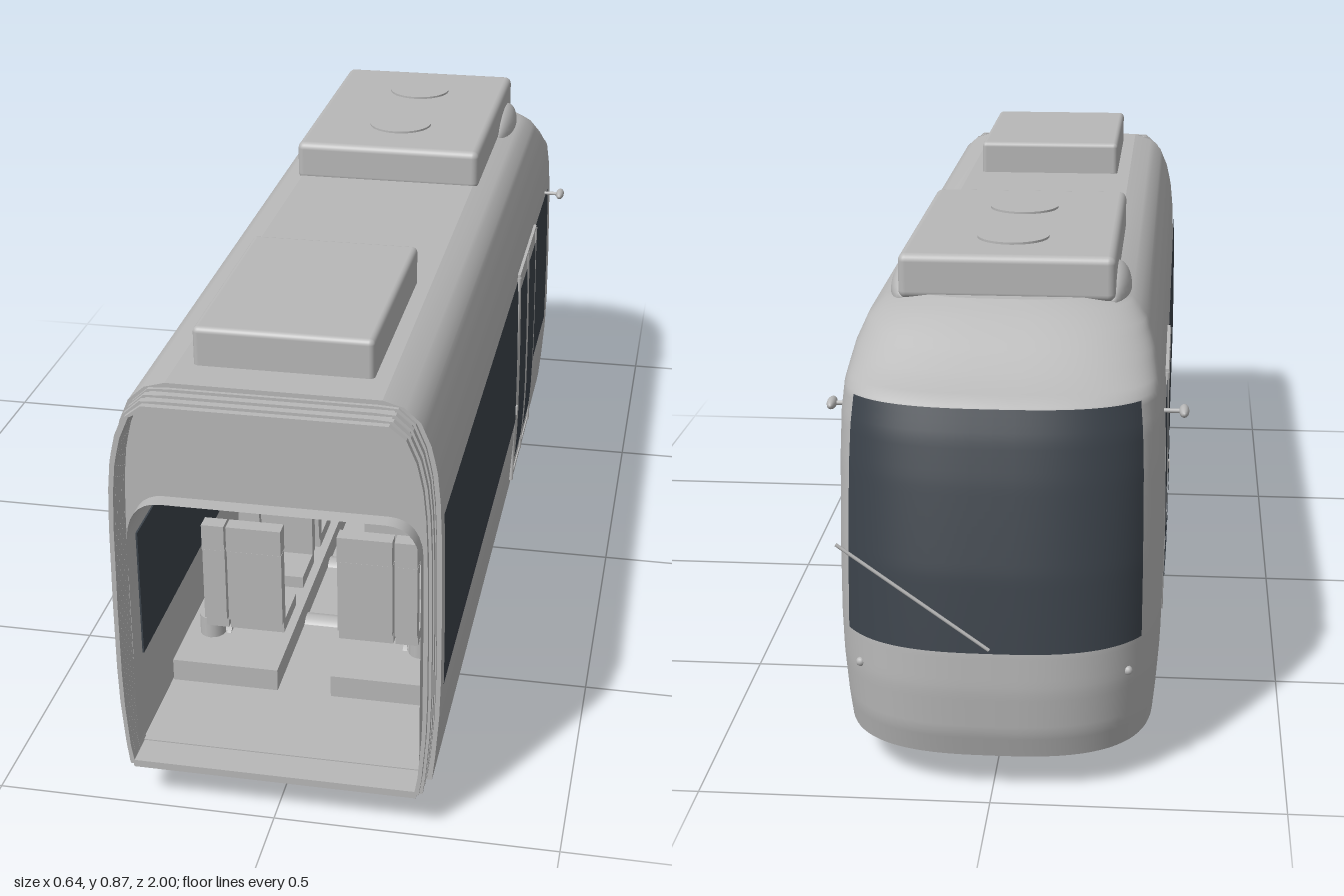
import * as THREE from 'three';
import { RoundedBoxGeometry } from 'three/addons/geometries/RoundedBoxGeometry.js';

const grey = new THREE.MeshStandardMaterial({ color: 0xb8b8b8, side: THREE.DoubleSide });
grey.name = 'bodyGrey';
const glass = new THREE.MeshStandardMaterial({ color: 0x3b424a, side: THREE.DoubleSide });
glass.name = 'darkGlass';

// Body profile rows: height, half width, nose tip z, z where the nose curve starts
const PROFILE = [
  [0.07, 0.268, -0.965, -0.72], [0.12, 0.273, -0.98, -0.72], [0.2, 0.279, -0.987, -0.72],
  [0.27, 0.281, -0.985, -0.72], [0.4, 0.281, -0.967, -0.72], [0.55, 0.279, -0.935, -0.72],
  [0.62, 0.276, -0.917, -0.72], [0.67, 0.271, -0.9, -0.71], [0.69, 0.267, -0.85, -0.69],
  [0.72, 0.26, -0.8, -0.66], [0.76, 0.243, -0.74, -0.62], [0.785, 0.215, -0.7, -0.59],
  [0.795, 0.18, -0.68, -0.57]];
const REAR = 0.935, Y0 = 0.07, Y1 = 0.795;

function profileAt(y) {
  let i = 0;
  while (i < PROFILE.length - 2 && y > PROFILE[i + 1][0]) i++;
  const a = PROFILE[i], b = PROFILE[i + 1];
  const k = THREE.MathUtils.clamp((y - a[0]) / (b[0] - a[0]), 0, 1);
  return [1, 2, 3].map(j => THREE.MathUtils.lerp(a[j], b[j], k));
}

// Point on the rounded nose at height y, t from 0 (left) to PI (right)
function nosePoint(y, t, off = 0) {
  const [w, f, s] = profileAt(y), e = 2 / 2.8, c = Math.cos(t);
  const x = (w + off) * Math.sign(c) * Math.pow(Math.abs(c), e);
  return [x, y, s + (f - off - s) * Math.pow(Math.max(Math.sin(t), 0), e)];
}

// Surface from a rule giving a point for column i and row j
function grid(nu, nv, rule) {
  const pos = [], idx = [];
  for (let j = 0; j <= nv; j++) for (let i = 0; i <= nu; i++) pos.push(...rule(i, j));
  for (let j = 0; j < nv; j++) for (let i = 0; i < nu; i++) {
    const a = j * (nu + 1) + i, d = a + nu + 1;
    idx.push(a, a + 1, d, a + 1, d + 1, d);
  }
  const g = new THREE.BufferGeometry();
  g.setAttribute('position', new THREE.Float32BufferAttribute(pos, 3));
  g.setIndex(idx);
  g.computeVertexNormals();
  return g;
}

export function createModel() {
  const model = new THREE.Group();
  model.name = 'tramCar';
  const add = (name, geo, mat = grey, x = 0, y = 0, z = 0) => {
    const m = new THREE.Mesh(geo, mat);
    m.name = name;
    m.position.set(x, y, z);
    model.add(m);
    return m;
  };
  // Box given by its limits
  const box = (name, x0, x1, y0, y1, z0, z1, mat = grey, r = 0) => {
    const s = [Math.abs(x1 - x0), y1 - y0, Math.abs(z1 - z0)];
    const g = r ? new RoundedBoxGeometry(...s, 3, r) : new THREE.BoxGeometry(...s);
    return add(name, g, mat, (x0 + x1) / 2, (y0 + y1) / 2, (z0 + z1) / 2);
  };
  // Straight round bar between two points
  const bar = (name, a, b, r) => {
    const p = new THREE.Vector3(...a), q = new THREE.Vector3(...b);
    const m = add(name, new THREE.CylinderGeometry(r, r, p.distanceTo(q), 16));
    m.position.copy(p).lerp(q, 0.5);
    m.quaternion.setFromUnitVectors(new THREE.Vector3(0, 1, 0), q.sub(p).normalize());
    return m;
  };

  // Outer shell, roof and underside
  const N = 40, ROWS = 58;
  const hull = (i, y) => {
    if (i === 0 || i === N + 2) return [(i ? -1 : 1) * profileAt(y)[0], y, REAR];
    return nosePoint(y, (i - 1) / N * Math.PI);
  };
  add('bodyShell', grid(N + 2, ROWS, (i, j) => hull(i, Y0 + (Y1 - Y0) * j / ROWS)));
  const cap = y => grid(N / 2 + 1, 1, (i, j) => hull(j ? N + 2 - i : i, y));
  add('roof', cap(Y1));
  add('underside', cap(Y0));

  // Windscreen following the nose
  const T = 0.593;
  add('windscreen', grid(32, 32, (i, j) =>
    nosePoint(0.27 + 0.398 * j / 32, T + (Math.PI - 2 * T) * i / 32, 0.004)), glass);
  bar('wiper', [0, 0.28, -0.996], [0.25, 0.46, -0.996], 0.003);

  // Side windows, doors, mirrors and lamps
  const panel = (name, side, z0, z1, y0, y1, off, mat) => add(name, grid(1, 14, (i, j) => {
    const y = y0 + (y1 - y0) * j / 14;
    return [side * (profileAt(y)[0] + off), y, (i === 0) === (side > 0) ? z0 : z1];
  }), mat);
  for (const s of [1, -1]) {
    panel('saloonWindow', s, 0.92, -0.095, 0.26, 0.59, 0.003, glass);
    panel('cabWindow', s, -0.44, -0.68, 0.26, 0.59, 0.003, glass);
    panel('doorPanel', s, -0.115, -0.42, 0.11, 0.59, 0.003, grey);
    panel('doorWindow', s, -0.13, -0.25, 0.155, 0.56, 0.005, glass);
    panel('doorWindow', s, -0.285, -0.405, 0.155, 0.56, 0.005, glass);
    for (const z of [-0.115, -0.267, -0.42])
      bar('doorPost', [s * 0.277, 0.11, z], [s * 0.281, 0.59, z], 0.004);
    for (const y of [0.11, 0.592])
      box('doorRail', s * 0.268, s * (profileAt(y)[0] + 0.006), y - 0.004, y + 0.004, -0.42, -0.115);
    box('doorHandle', s * 0.278, s * 0.288, 0.28, 0.3, -0.1, -0.09);
    bar('mirrorArm', [s * 0.27, 0.59, -0.65], [s * 0.315, 0.59, -0.65], 0.004);
    const mirror = add('mirror', new THREE.SphereGeometry(0.01, 16, 12), grey, s * 0.313, 0.59, -0.65);
    mirror.scale.set(0.9, 1, 2.5);
    add('lamp', new THREE.SphereGeometry(0.008, 12, 8), grey, ...nosePoint(0.215, Math.PI / 2 - s * 0.85));
  }

  // Roof equipment
  box('frontRoofUnit', -0.19, 0.19, 0.785, 0.866, -0.66, -0.095, grey, 0.014);
  box('rearRoofUnit', -0.153, 0.153, 0.785, 0.863, 0.43, 0.86, grey, 0.01);
  for (const z of [-0.51, -0.26])
    add('roofFan', new THREE.CylinderGeometry(0.065, 0.065, 0.006, 32), grey, 0, 0.867, z);
  for (const s of [1, -1])
    add('roofFairing', new THREE.SphereGeometry(1, 24, 16), grey, s * 0.185, 0.785, -0.54).scale.set(0.03, 0.042, 0.115);

  // Gangway bellows: a stack of ribs around the open end
  const outline = inset => {
    const half = PROFILE.map(p => [p[1] - inset, THREE.MathUtils.clamp(p[0], 0.07 + inset, Y1 - inset)]);
    return [...half, ...half.map(([x, y]) => [-x, y]).reverse()].map(p => new THREE.Vector2(...p));
  };
  for (let k = 0; k < 6; k++) {
    const rib = new THREE.Shape(outline(k % 2 ? 0.013 : 0.008));
    rib.holes.push(new THREE.Path(outline(0.02)));
    add('bellowsRib', new THREE.ExtrudeGeometry(rib, { depth: 0.0115, bevelEnabled: false }), grey, 0, 0, 0.93 + k * 0.0117);
  }
  box('gangwayFloor', -0.25, 0.25, 0.075, 0.09, 0.93, 0.998);

  // Inner arch: end bulkhead, lining and cab partition
  const arch = new THREE.Shape();
  arch.moveTo(0.25, 0.09);
  arch.lineTo(0.25, 0.5);
  arch.quadraticCurveTo(0.25, 0.585, 0.19, 0.585);
  arch.lineTo(-0.19, 0.585);
  arch.quadraticCurveTo(-0.25, 0.585, -0.25, 0.5);
  arch.lineTo(-0.25, 0.09);
  const pts = arch.getPoints(8);
  const wall = new THREE.Shape(outline(0));
  wall.holes.push(new THREE.Path(pts));
  add('endBulkhead', new THREE.ShapeGeometry(wall), grey, 0, 0, REAR);
  add('innerLining', grid(pts.length - 1, 1, (i, j) => [pts[i].x, pts[i].y, j ? -0.45 : 0.965]));
  add('cabPartition', new THREE.ShapeGeometry(arch), grey, 0, 0, -0.45);
  box('saloonFloor', -0.25, 0.25, 0.08, 0.092, -0.45, 0.94);
  for (const s of [1, -1]) {
    box('innerWindow', s * 0.246, s * 0.249, 0.26, 0.5, -0.095, 0.92, glass);
    bar('grabPole', [s * 0.2, 0.1, -0.05], [s * 0.2, 0.575, -0.05], 0.004);
  }
  bar('centrePole', [0, 0.09, -0.1], [0, 0.585, -0.1], 0.004);

  // Seats in facing rows on plinths
  for (const s of [1, -1]) {
    box('seatPlinth', s * 0.05, s * 0.248, 0.09, 0.135, 0.05, 0.75);
    for (const [z, face] of [[0.68, -1], [0.42, 1], [0.36, -1], [0.1, 1]]) {
      bar('seatPedestal', [s * 0.2, 0.13, z + face * 0.04], [s * 0.2, 0.176, z + face * 0.04], 0.024);
      for (const [x0, x1] of [[0.052, 0.154], [0.158, 0.2]]) {
        box('seatCushion', s * x0, s * x1, 0.173, 0.197, z, z + face * 0.1);
        box('seatBack', s * x0, s * x1, 0.197, 0.343, z - 0.012, z + 0.012);
        box('headrest', s * x0, s * x1, 0.345, 0.395, z - 0.015, z + 0.015);
      }
    }
  }

  // Hanging display and driver screen
  box('displayFrame', -0.073, 0.073, 0.515, 0.568, 0.8, 0.82);
  box('displayPanel', -0.067, 0.067, 0.52, 0.563, 0.82, 0.824, glass);
  box('screen', -0.193, -0.072, 0.395, 0.477, -0.44, -0.435, glass);

  // Bogie: wheels, axles, discs and motors
  for (const z of [0.6, 0.17]) {
    bar('axle', [-0.18, 0.075, z], [0.18, 0.075, z], 0.01);
    for (const s of [1, -1]) {
      bar('wheel', [s * 0.168, 0.075, z], [s * 0.19, 0.075, z], 0.07);
      bar('wheelFlange', [s * 0.165, 0.075, z], [s * 0.173, 0.075, z], 0.075);
      bar('brakeDisc', [s * 0.106, 0.075, z], [s * 0.117, 0.075, z], 0.045);
    }
  }
  for (const z of [0.5, 0.28]) bar('motor', [-0.1, 0.073, z], [0.07, 0.073, z], 0.029);
  for (const s of [1, -1]) box('bogieFrame', s * 0.195, s * 0.215, 0.058, 0.08, 0.55, 0.65);

  return model;
}
